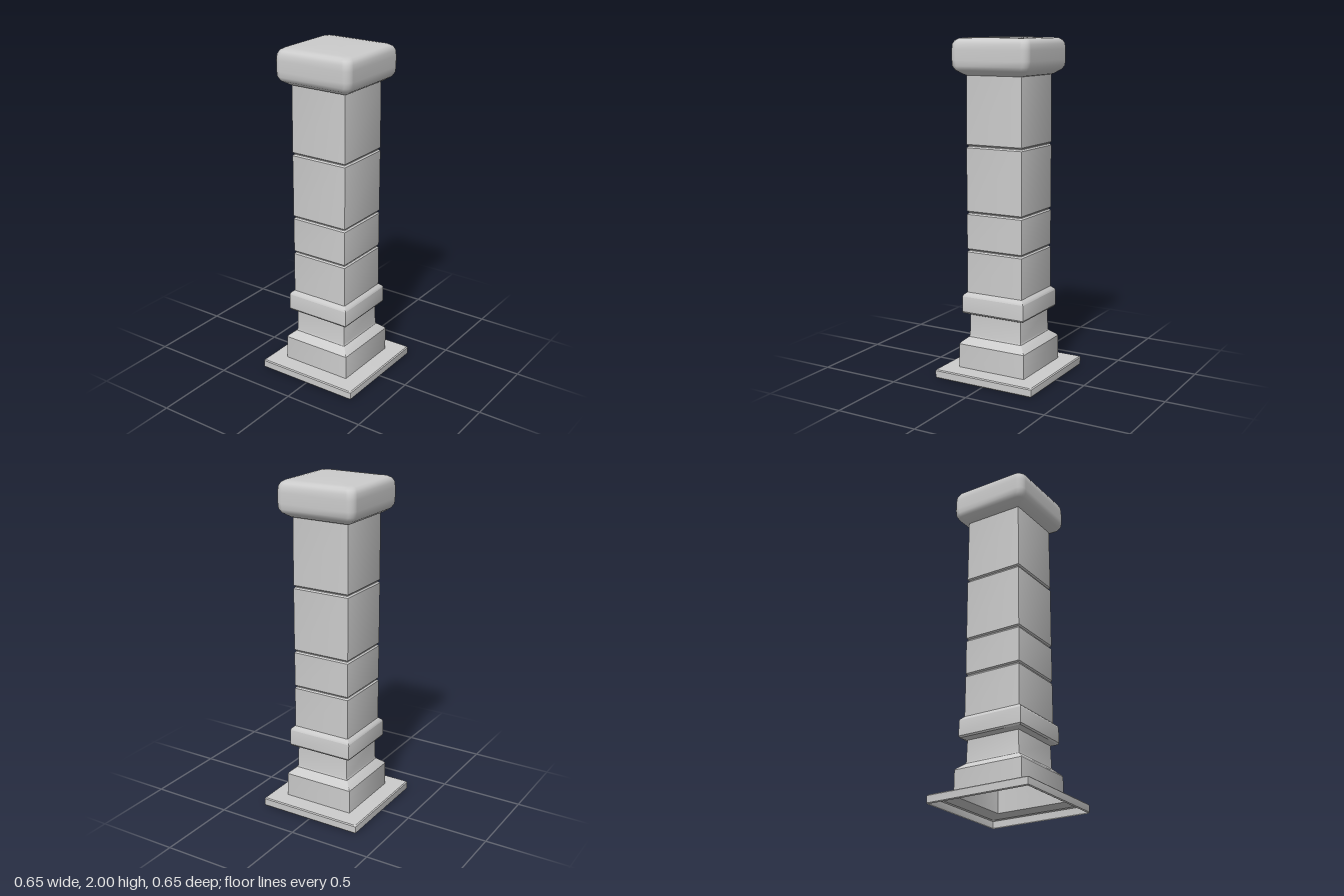
import * as THREE from 'three';
import { toCreasedNormals } from 'three/addons/utils/BufferGeometryUtils.js';

const material = new THREE.MeshStandardMaterial({ color: 0xcccccc, side: THREE.DoubleSide });

// Skin of square rings, each [half width, height, corner radius]; an optional crown height closes the top.
function squareLoft(rings, segments, crown) {
  const positions = [], index = [];
  const count = 4 * (segments + 1);
  for (const [half, y, radius] of rings) {
    for (let corner = 0; corner < 4; corner++) {
      const mid = (corner + 0.5) * Math.PI / 2;
      const cx = Math.sign(Math.cos(mid)) * (half - radius);
      const cz = Math.sign(Math.sin(mid)) * (half - radius);
      for (let s = 0; s <= segments; s++) {
        const a = (corner + s / segments) * Math.PI / 2;
        positions.push(cx + radius * Math.cos(a), y, cz + radius * Math.sin(a));
      }
    }
  }
  for (let r = 0; r < rings.length - 1; r++) {
    for (let i = 0; i < count; i++) {
      const a = r * count + i, b = r * count + (i + 1) % count;
      index.push(a, a + count, b, b, a + count, b + count);
    }
  }
  if (crown !== undefined) {
    const centre = positions.length / 3, last = centre - count;
    positions.push(0, crown, 0);
    for (let i = 0; i < count; i++) index.push(centre, last + (i + 1) % count, last + i);
  }
  const geometry = new THREE.BufferGeometry();
  geometry.setAttribute('position', new THREE.Float32BufferAttribute(positions, 3));
  geometry.setIndex(index);
  geometry.computeVertexNormals();
  return geometry;
}

export function createModel() {
  const group = new THREE.Group();
  const add = (name, geometry) => {
    const mesh = new THREE.Mesh(geometry, material);
    mesh.name = name;
    group.add(mesh);
  };
  const sharp = (profile, radius = 0.004) =>
    toCreasedNormals(squareLoft(profile.map(([h, y]) => [h, y, radius]), 2), 0.5);

  // Hollow foot plate with softened rim
  add('footPlate', sharp([[0.319, 0], [0.324, 0.006], [0.324, 0.046], [0.318, 0.052], [0.22, 0.056]], 0.008));

  // Plinth with sloped shoulder, narrow neck and collar
  add('plinth', sharp([[0.22, 0.056], [0.219, 0.2], [0.212, 0.21], [0.176, 0.24], [0.173, 0.25], [0.17, 0.376]]));
  add('collar', sharp([[0.17, 0.376], [0.2, 0.388], [0.206, 0.398], [0.205, 0.49], [0.2, 0.5], [0.183, 0.515]]));

  // Shaft blocks separated by shallow grooves
  const joints = [0.768, 0.992, 1.382];
  const shaft = [[0.183, 0.515]];
  for (const y of joints) shaft.push([0.182, y - 0.01], [0.174, y - 0.002], [0.174, y + 0.002], [0.182, y + 0.01]);
  shaft.push([0.18, 1.787]);
  add('shaft', sharp(shaft));

  // Soft, cushion-like cap
  add('cap', squareLoft([
    [0.18, 1.785, 0.008], [0.195, 1.79, 0.02], [0.235, 1.815, 0.04], [0.249, 1.838, 0.045],
    [0.251, 1.87, 0.045], [0.251, 1.93, 0.045], [0.248, 1.962, 0.045], [0.238, 1.982, 0.045],
    [0.22, 1.993, 0.042], [0.19, 1.997, 0.04], [0.1, 1.999, 0.03],
  ], 5, 2));

  return group;
}
